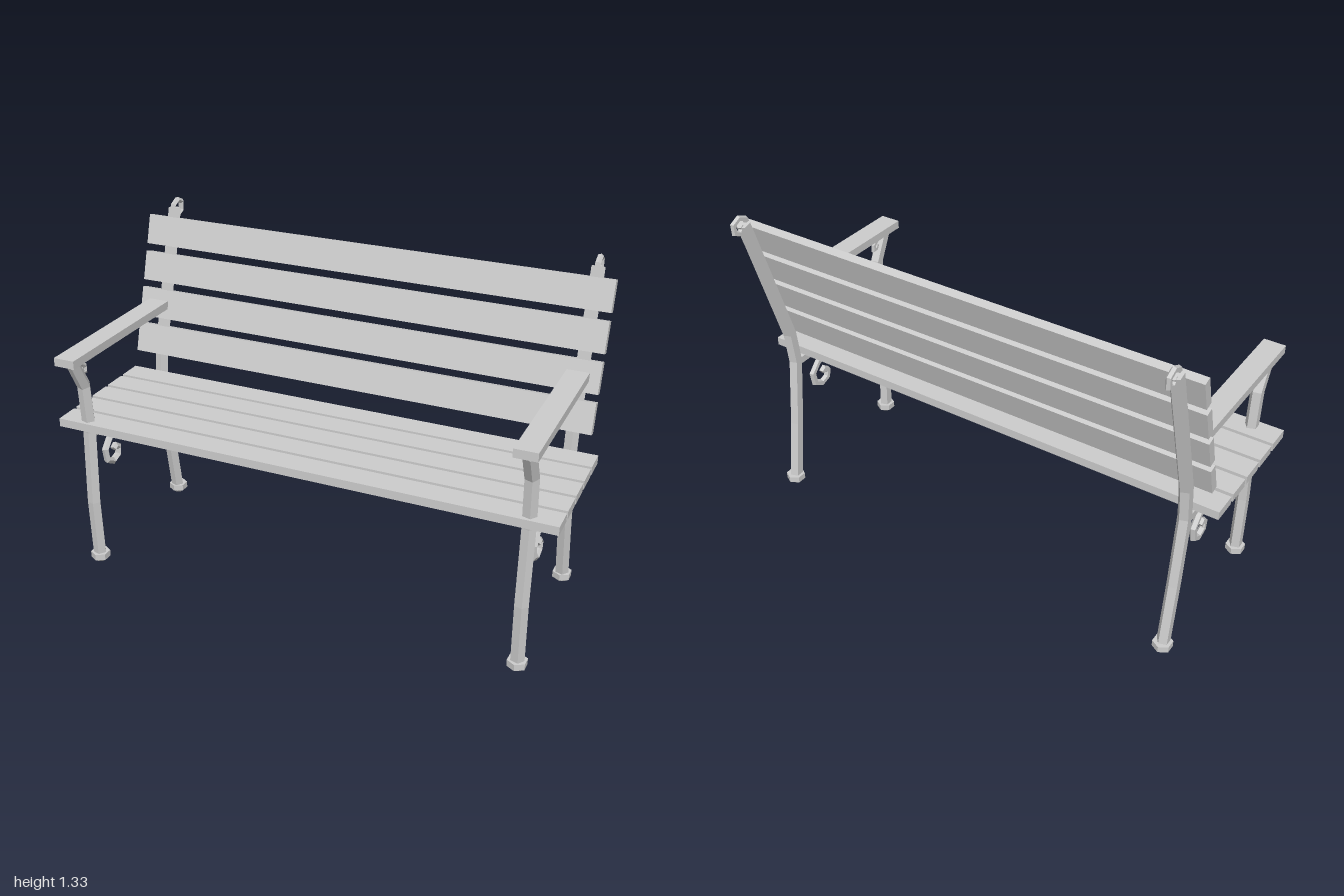
import * as THREE from 'three';

const iron = new THREE.MeshStandardMaterial({ color: 0xcccccc, flatShading: true });
iron.name = 'grey';

// Sweeps a regular polygon along a path of [z, y] points, with mitred corners.
function sweep(path, r, sides = 5) {
  const pts = path.map(([z, y]) => new THREE.Vector3(0, y, z));
  const X = new THREE.Vector3(1, 0, 0);
  const rings = pts.map((p, i) => {
    const a = p.clone().sub(pts[Math.max(i - 1, 0)]).normalize();
    const b = pts[Math.min(i + 1, pts.length - 1)].clone().sub(p).normalize();
    const t = a.clone().add(b).normalize();
    const mitre = i && i < pts.length - 1 ? 1 / Math.max(t.dot(a), 0.6) : 1;
    const N = t.cross(X);
    return Array.from({ length: sides }, (_, j) => {
      const ang = (j / sides) * Math.PI * 2;
      return p.clone().addScaledVector(X, r * Math.cos(ang))
        .addScaledVector(N, r * mitre * Math.sin(ang));
    });
  });
  const out = [];
  const tri = (...v) => v.forEach((q) => out.push(q.x, q.y, q.z));
  for (let i = 0; i < rings.length - 1; i++) {
    for (let j = 0; j < sides; j++) {
      const k = (j + 1) % sides, lo = rings[i], hi = rings[i + 1];
      tri(lo[j], lo[k], hi[k]);
      tri(lo[j], hi[k], hi[j]);
    }
  }
  const first = rings[0], last = rings[rings.length - 1];
  for (let j = 1; j < sides - 1; j++) {
    tri(first[0], first[j + 1], first[j]);
    tri(last[0], last[j], last[j + 1]);
  }
  const g = new THREE.BufferGeometry();
  g.setAttribute('position', new THREE.Float32BufferAttribute(out, 3));
  g.computeVertexNormals();
  return g;
}

function add(parent, name, geometry, x = 0, y = 0, z = 0) {
  const m = new THREE.Mesh(geometry, iron);
  m.name = name;
  m.position.set(x, y, z);
  parent.add(m);
  return m;
}

function sideFrame() {
  const g = new THREE.Group();
  g.name = 'sideFrame';

  // Legs; the back one carries on up as the backrest post
  add(g, 'frontLeg', sweep([[0.345, 0.01], [0.352, 0.28], [0.336, 0.59], [0.347, 0.79], [0.402, 0.9]], 0.027));
  add(g, 'backLeg', sweep([[-0.285, 0.01], [-0.243, 0.29], [-0.209, 0.585], [-0.225, 0.725], [-0.395, 1.29]], 0.027));

  // Feet
  for (const z of [0.345, -0.285]) {
    add(g, 'foot', new THREE.CylinderGeometry(0.039, 0.039, 0.026, 6), 0, 0.027, z);
    add(g, 'footPad', new THREE.CylinderGeometry(0.036, 0.02, 0.014, 6), 0, 0.007, z);
  }

  // Seat rail and armrest
  add(g, 'seatRail', sweep([[0.335, 0.58], [-0.2, 0.58]], 0.025));
  add(g, 'armrest', new THREE.BoxGeometry(0.086, 0.033, 0.682), 0, 0.926, 0.118);

  // Curls at the tops of the front leg and the post
  add(g, 'armCurl', sweep([[0.385, 0.895], [0.352, 0.883], [0.334, 0.868], [0.334, 0.848], [0.35, 0.85], [0.358, 0.864]], 0.011));
  add(g, 'postCurl', sweep([[-0.376, 1.285], [-0.382, 1.305], [-0.415, 1.32], [-0.445, 1.305], [-0.443, 1.27],
    [-0.417, 1.258], [-0.402, 1.275], [-0.412, 1.288]], 0.011));

  // Pair of scrolls below the seat
  const scroll = [[0.16, 0.56], [0.16, 0.515], [0.21, 0.502], [0.247, 0.463], [0.238, 0.412], [0.2, 0.39],
    [0.162, 0.404], [0.157, 0.434], [0.178, 0.45], [0.192, 0.44]];
  add(g, 'frontScroll', sweep(scroll, 0.014));
  add(g, 'backScroll', sweep(scroll.map(([z, y]) => [0.13 - z, y]), 0.014));
  return g;
}

export function createModel() {
  const bench = new THREE.Group();
  bench.name = 'bench';

  for (const x of [-0.887, 0.887]) {
    const frame = sideFrame();
    frame.position.x = x;
    bench.add(frame);
  }

  // Seat slats
  for (let i = 0; i < 5; i++) {
    add(bench, 'seatSlat', new THREE.BoxGeometry(2, 0.034, 0.099), 0, 0.621, 0.325 - i * 0.1143);
  }

  // Leaning backrest slats
  for (let i = 0; i < 4; i++) {
    const slat = add(bench, 'backSlat', new THREE.BoxGeometry(1.94, 0.12, 0.033), 0, 0.778 + i * 0.1437, -0.193 - i * 0.0447);
    slat.rotation.x = -0.29;
  }
  return bench;
}
